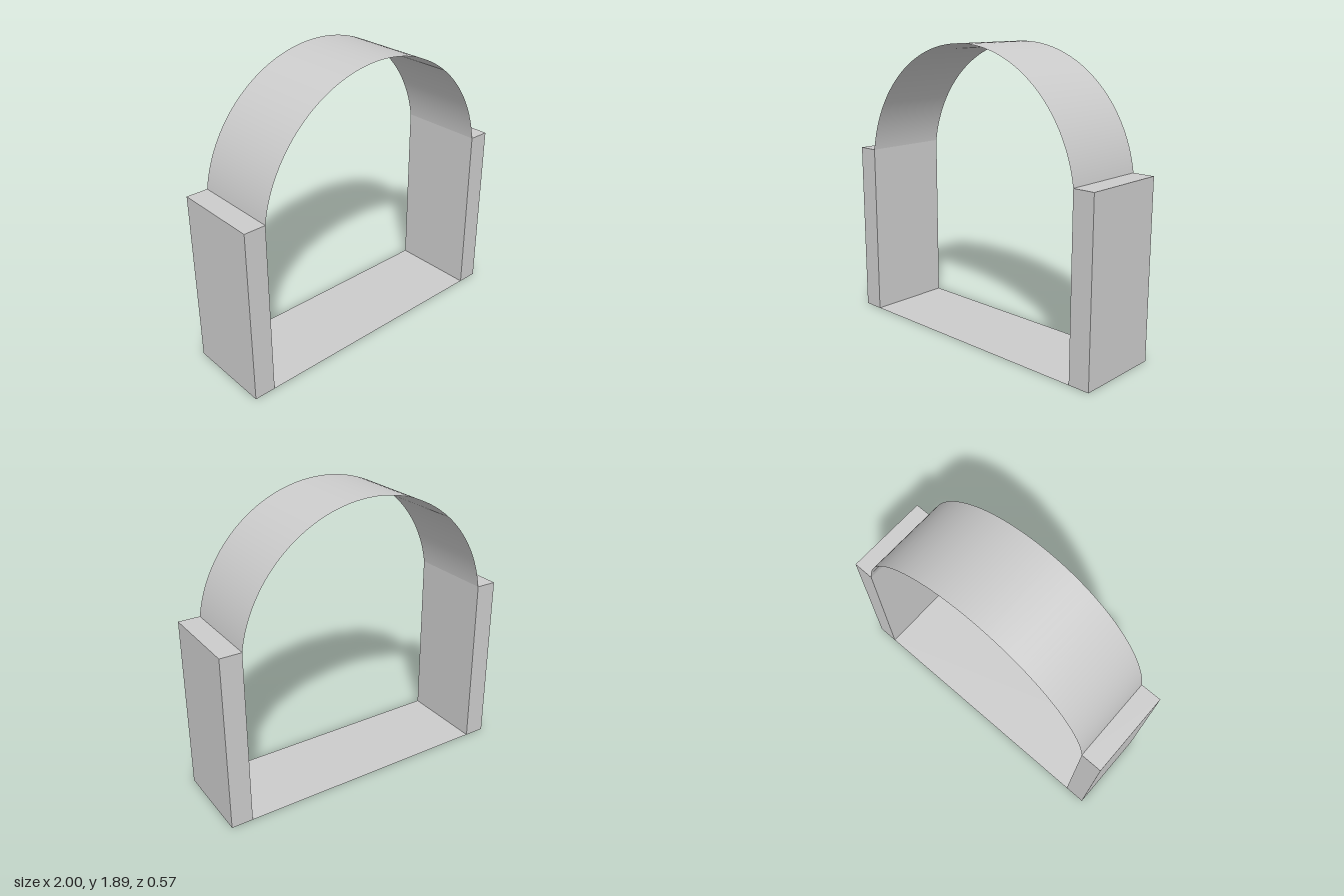
import * as THREE from 'three';

const DEPTH = 0.57;
const POST_HEIGHT = 1.15;
const POST_WIDTH = 0.14;
const INNER = 0.86; // half the opening width
const RISE = 0.74; // arch height above the posts

export function createModel() {
  const model = new THREE.Group();
  model.name = 'archFrame';
  const solid = new THREE.MeshStandardMaterial({ color: 0xcccccc });
  const sheet = new THREE.MeshStandardMaterial({ color: 0xcccccc, side: THREE.DoubleSide });

  const add = (name, geometry, material, x, y) => {
    const mesh = new THREE.Mesh(geometry, material);
    mesh.name = name;
    mesh.position.set(x, y, 0);
    model.add(mesh);
  };

  // Side posts
  const post = new THREE.BoxGeometry(POST_WIDTH, POST_HEIGHT, DEPTH);
  for (const [name, side] of [['leftPost', 1], ['rightPost', -1]]) {
    add(name, post, solid, side * (INNER + POST_WIDTH / 2), POST_HEIGHT / 2);
  }

  // Thin floor between the posts
  const floor = new THREE.PlaneGeometry(INNER * 2, DEPTH).rotateX(-Math.PI / 2);
  add('floor', floor, sheet, 0, 0);

  // Thin arch: a circular arc through both inner post tops and the crown
  const radius = (INNER ** 2 + RISE ** 2) / (2 * RISE);
  const halfAngle = Math.acos((radius - RISE) / radius);
  const arch = new THREE.CylinderGeometry(
    radius, radius, DEPTH, 64, 1, true, -halfAngle, halfAngle * 2
  ).rotateX(-Math.PI / 2);
  add('arch', arch, sheet, 0, POST_HEIGHT + RISE - radius);

  return model;
}
